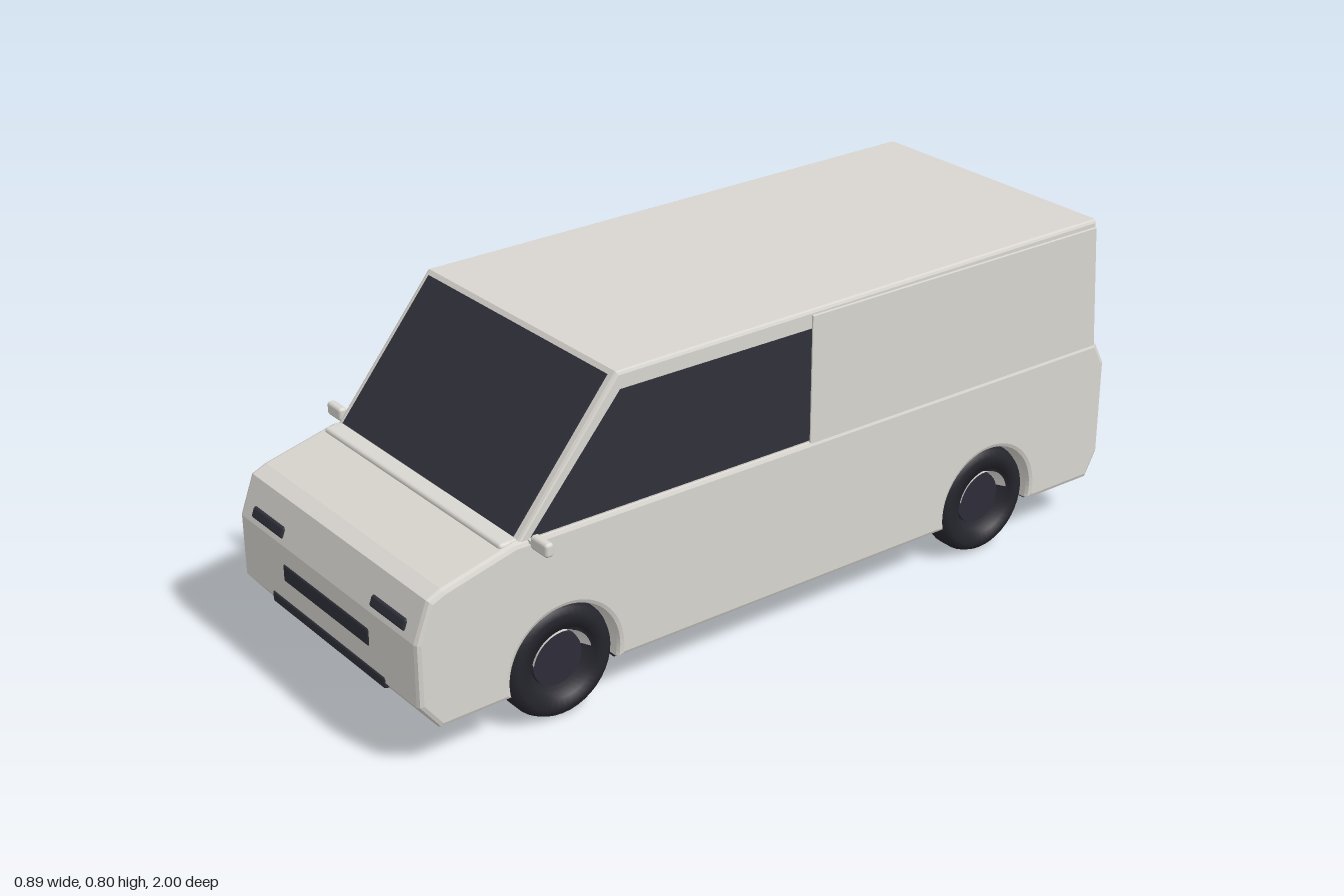
import * as THREE from 'three';
import { RoundedBoxGeometry } from 'three/addons/geometries/RoundedBoxGeometry.js';

const mat = (name, color, side = THREE.FrontSide) => {
  const m = new THREE.MeshStandardMaterial({ color, side });
  m.name = name;
  return m;
};

export function createModel() {
  const paint = mat('warm grey paint', 0xd9d6d0);
  const rimLight = mat('light rim', 0xe4e2de, THREE.DoubleSide);
  const glass = mat('dark glass', 0x30303a);
  const rubber = mat('tyre rubber', 0x25252d);
  const hubDark = mat('hub', 0x2e2c38);
  const under = mat('underside', 0x1c1c20);

  const van = new THREE.Group();
  van.name = 'van';
  const add = (name, geometry, material, parent = van) => {
    const m = new THREE.Mesh(geometry, material);
    m.name = name;
    parent.add(m);
    return m;
  };
  const box = (name, material, w, h, d, x, y, z, r = 0) => {
    const g = r ? new RoundedBoxGeometry(w, h, d, 3, r) : new THREE.BoxGeometry(w, h, d);
    add(name, g, material).position.set(x, y, z);
  };
  // Side profile drawn in (z, y), extruded across x and centred there
  const across = (shape, width, bevel) => {
    const g = new THREE.ExtrudeGeometry(shape, {
      depth: width - 2 * bevel, bevelEnabled: bevel > 0, bevelThickness: bevel,
      bevelSize: bevel, bevelOffset: -bevel, bevelSegments: 2, curveSegments: 24,
    });
    g.translate(0, 0, -(width / 2 - bevel));
    g.rotateY(-Math.PI / 2);
    return g;
  };
  const outline = (pts) => new THREE.Shape(pts.map(([z, y]) => new THREE.Vector2(z, y)));

  // Lower body with open wheel arches
  const axles = [-0.62, 0.63], wheelR = 0.137, archR = 0.142, sill = 0.105;
  const lower = new THREE.Shape();
  const nose = [[0.95, 0.1], [1, 0.165], [1, 0.315], [0.965, 0.408], [0.93, 0.424], [0.75, 0.47]];
  const tail = [[-0.968, 0.47], [-1, 0.41], [-1, 0.165], [-0.965, 0.1], [-0.78, 0.1]];
  lower.moveTo(...nose[0]);
  [...nose.slice(1), ...tail].forEach((p) => lower.lineTo(...p));
  const dip = Math.asin((wheelR - sill) / archR);
  for (const z of axles) lower.absarc(z, wheelR, archR, Math.PI + dip, -dip, true);
  add('lowerBody', across(lower, 0.75, 0.012), paint);

  // Cabin and roof
  const front = [[0.745, 0.46], [0.48, 0.785]];
  const rear = [[-0.943, 0.795], [-0.967, 0.46]];
  add('upperBody', across(outline([...front, ...rear]), 0.736, 0.008), paint);

  // Windscreen and rear window lie on the sloping ends
  const slopedPlate = (name, [z0, y0], [z1, y1], width, outward) => {
    const len = Math.hypot(z1 - z0, y1 - y0);
    const m = add(name, new THREE.BoxGeometry(width, len, 0.008), glass);
    const nz = (y1 - y0) / len, ny = -(z1 - z0) / len;
    m.position.set(0, (y0 + y1) / 2 + ny * 0.002 * outward, (z0 + z1) / 2 + nz * 0.002 * outward);
    m.rotation.x = Math.atan2(z1 - z0, y1 - y0);
  };
  slopedPlate('windscreen', [0.735, 0.472], [0.488, 0.775], 0.69, 1);
  slopedPlate('rearWindow', [-0.966, 0.474], [-0.9445, 0.775], 0.7, -1);

  // Cab windows, cargo panels and mirrors on both sides
  const cabWindow = outline([[0.708, 0.472], [0.473, 0.745], [-0.05, 0.745], [-0.05, 0.472]]);
  const cargoPanel = outline([[-0.05, 0.46], [-0.05, 0.777], [-0.94, 0.777], [-0.962, 0.46]]);
  for (const [side, s] of [['left', 1], ['right', -1]]) {
    add(side + 'CabWindow', across(cabWindow, 0.008, 0), glass).position.x = s * 0.3655;
    add(side + 'CargoPanel', across(cargoPanel, 0.012, 0.002), paint).position.x = s * 0.3665;
    box(side + 'Mirror', paint, 0.06, 0.033, 0.022, s * 0.416, 0.473, 0.712, 0.008);
    box(side + 'MirrorArm', paint, 0.04, 0.008, 0.008, s * 0.375, 0.466, 0.712);
  }

  // Cowl below the windscreen
  box('cowl', paint, 0.72, 0.03, 0.05, 0, 0.457, 0.755, 0.008);

  // Headlights lean with the nose; grille and bumper vent sit on the flat front
  for (const s of [1, -1]) {
    const lamp = add(s > 0 ? 'leftHeadlight' : 'rightHeadlight',
      new RoundedBoxGeometry(0.138, 0.028, 0.018, 3, 0.007), glass);
    lamp.position.set(s * 0.254, 0.338, 0.987);
    lamp.rotation.x = -0.36;
  }
  box('grille', glass, 0.364, 0.045, 0.016, 0, 0.248, 0.995, 0.007);
  box('bumperVent', glass, 0.482, 0.029, 0.02, 0, 0.164, 0.993, 0.007);

  // Underside: centre pan, plus wide floors between the arches
  box('centrePan', under, 0.54, 0.2, 1.84, 0, 0.199, -0.005);
  for (const [a, b] of [[-0.935, -0.765], [-0.48, 0.49], [0.775, 0.93]])
    box('floorPan', under, 0.71, 0.012, b - a, 0, 0.104, (a + b) / 2);

  // Wheels: tyre with a recessed hub and a light upper rim
  const tyreProfile = [[0, -0.042], [0.115, -0.042], [0.13, -0.034], [wheelR, -0.018], [wheelR, 0.018],
    [0.13, 0.034], [0.115, 0.041], [0.085, 0.042], [0.081, 0.008], [0, 0.008]]
    .map(([r, h]) => new THREE.Vector2(r, h));
  const tyreGeo = new THREE.LatheGeometry(tyreProfile, 40).rotateZ(-Math.PI / 2);
  const hubGeo = new THREE.CylinderGeometry(0.064, 0.066, 0.012, 32).rotateZ(-Math.PI / 2);
  const rimGeo = new THREE.CylinderGeometry(0.077, 0.066, 0.03, 28, 1, true, Math.PI + 0.2, Math.PI - 0.4)
    .rotateZ(-Math.PI / 2);
  for (const z of axles) for (const s of [1, -1]) {
    const wheel = new THREE.Group();
    wheel.name = (z > 0 ? 'front' : 'rear') + (s > 0 ? 'Left' : 'Right') + 'Wheel';
    add('tyre', tyreGeo, rubber, wheel);
    add('hub', hubGeo, hubDark, wheel).position.x = 0.012;
    add('rim', rimGeo, rimLight, wheel).position.x = 0.024;
    wheel.position.set(s * 0.322, wheelR, z);
    if (s < 0) wheel.rotation.y = Math.PI;
    van.add(wheel);
  }
  return van;
}
